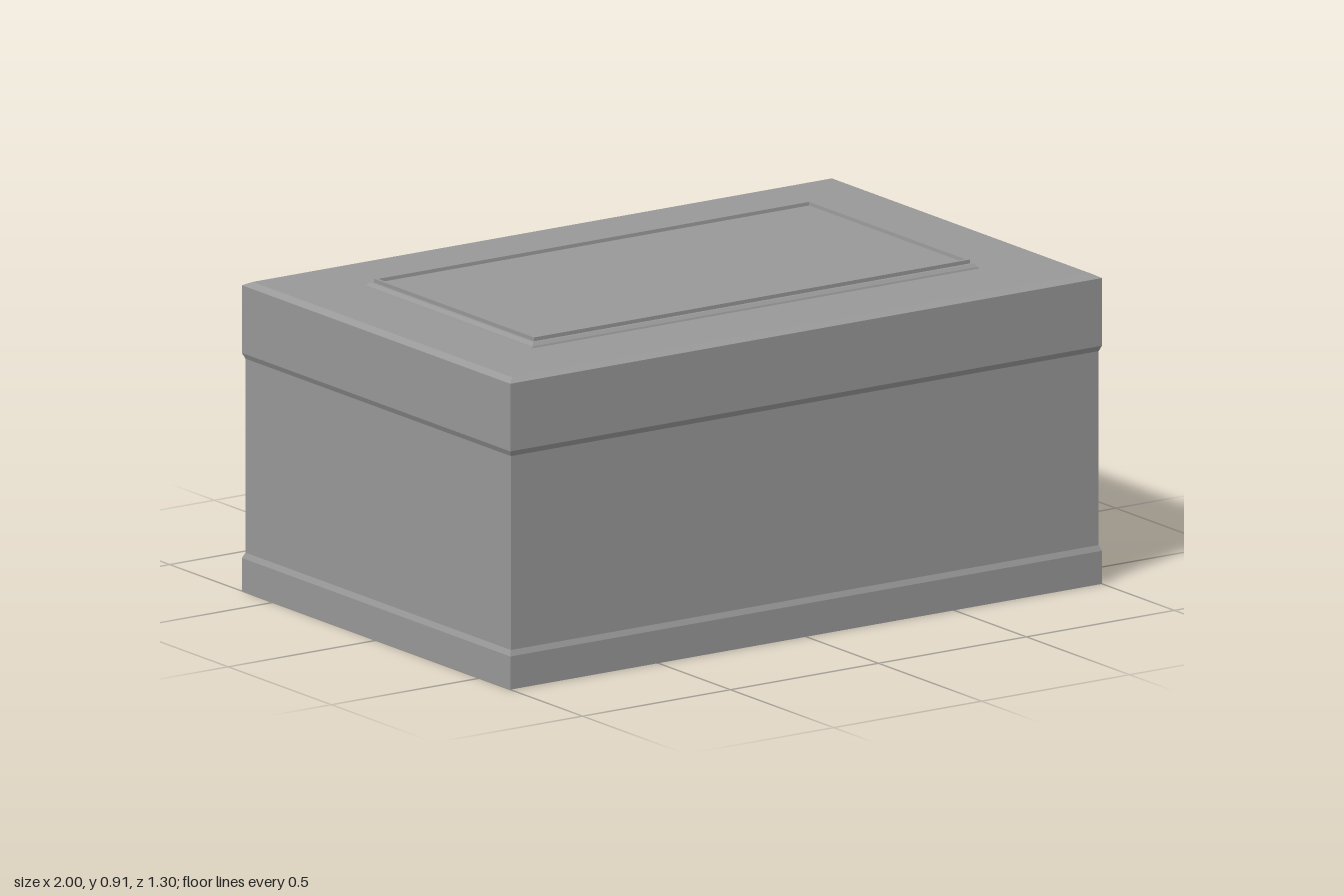
import * as THREE from 'three';

const material = new THREE.MeshStandardMaterial({ color: 0x999999, flatShading: true, side: THREE.DoubleSide });

// Walls that join rectangular rings [halfWidth, y, halfDepth], listed from bottom to top
function rectLoft(name, rings, capped = false) {
  const pos = [];
  const corners = ([w, y, d]) => [[-w, y, d], [w, y, d], [w, y, -d], [-w, y, -d]];
  const quad = (a, b, c, d) => pos.push(...a, ...b, ...c, ...a, ...c, ...d);
  for (let i = 0; i < rings.length - 1; i++) {
    const lo = corners(rings[i]), hi = corners(rings[i + 1]);
    for (let k = 0; k < 4; k++) {
      const n = (k + 1) % 4;
      quad(lo[k], lo[n], hi[n], hi[k]);
    }
  }
  if (capped) quad(...corners(rings[rings.length - 1]));
  const geometry = new THREE.BufferGeometry();
  geometry.setAttribute('position', new THREE.Float32BufferAttribute(pos, 3));
  geometry.computeVertexNormals();
  const mesh = new THREE.Mesh(geometry, material);
  mesh.name = name;
  return mesh;
}

export function createModel() {
  const group = new THREE.Group();
  group.name = 'box';
  const W = 1, D = 0.65;
  const inset = (amount, y) => [W - amount, y, D - amount];

  // Plinth band with a sloped upper edge
  group.add(rectLoft('baseBand', [inset(0, 0), inset(0, 0.095), inset(0.007, 0.111)]));

  // Slightly recessed walls, open underneath
  group.add(rectLoft('walls', [inset(0.007, 0.111), inset(0.007, 0.667)]));

  // Lid rim, shallow bevelled top edge and flat border around the panel
  group.add(rectLoft('lid', [
    inset(0.007, 0.667), inset(0, 0.683), inset(0, 0.877), inset(0.021, 0.888), [0.755, 0.888, 0.405],
  ]));

  // Stepped frame on the lid with a thin raised lip around a sunken panel
  group.add(rectLoft('lidPanel', [
    [0.755, 0.888, 0.405], [0.753, 0.893, 0.403], [0.745, 0.902, 0.395],
    [0.737, 0.902, 0.388], [0.737, 0.913, 0.388], [0.728, 0.913, 0.379], [0.727, 0.903, 0.378],
  ], true));

  return group;
}
